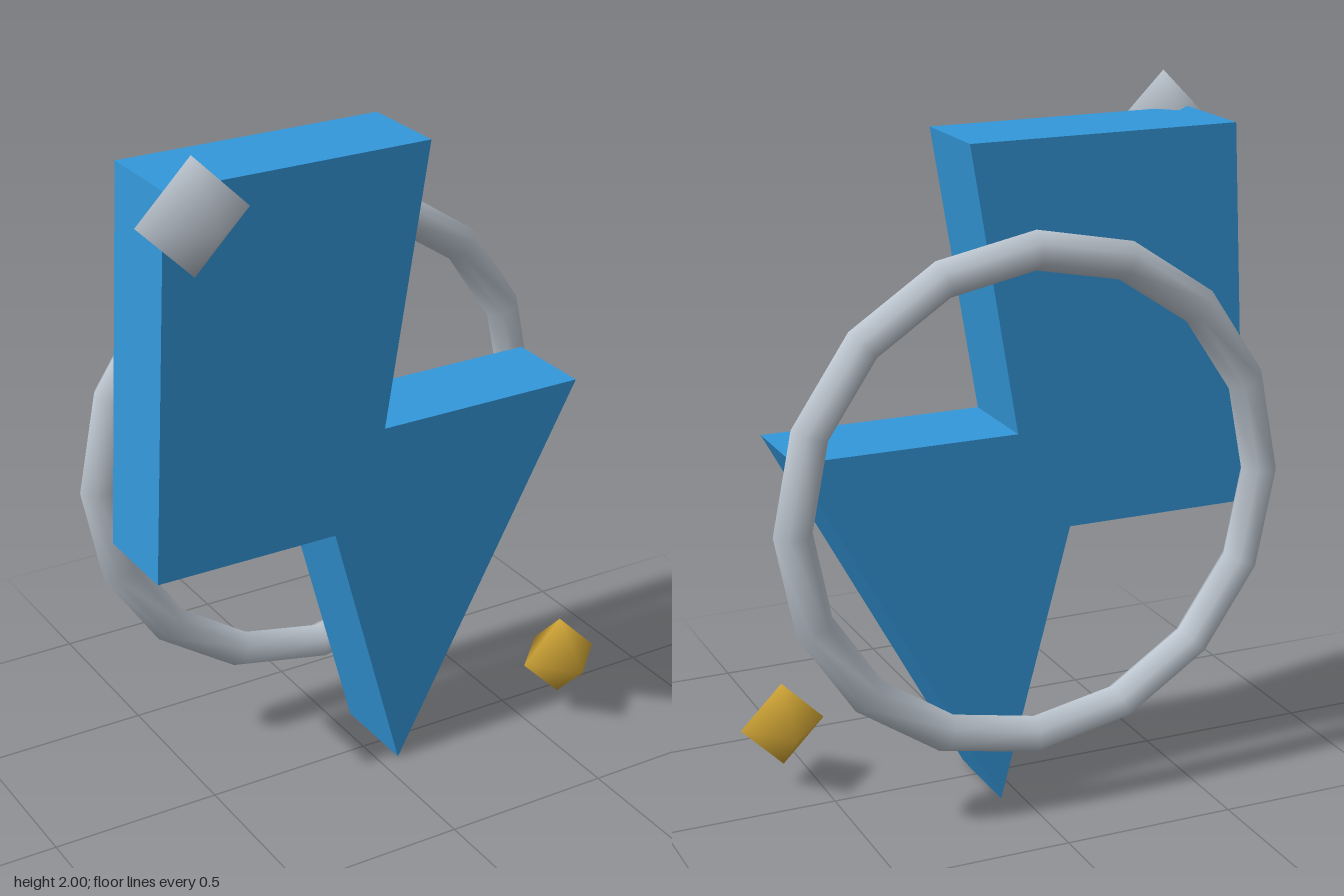
import * as THREE from 'three';

const FRONT = 0.10, BACK = -0.177;

export function createModel() {
  const group = new THREE.Group();
  const blue = new THREE.MeshStandardMaterial({ color: 0x3498db });
  const silver = new THREE.MeshStandardMaterial({ color: 0xbdc6d0 });
  const gold = new THREE.MeshStandardMaterial({ color: 0xd4a837 });
  blue.name = 'blue';
  silver.name = 'silver';
  gold.name = 'gold';

  const add = (name, geometry, material, x, y, z) => {
    const mesh = new THREE.Mesh(geometry, material);
    mesh.name = name;
    mesh.position.set(x, y, z);
    group.add(mesh);
  };

  // Lightning bolt slab
  const outline = [
    [-0.64, 1.9], [-0.70, 0.8], [-0.15, 0.8], [0.06, 0.003],
    [0.655, 1.09], [0.01, 1.09], [0.15, 1.9],
  ];
  const shape = new THREE.Shape(outline.map(([x, y]) => new THREE.Vector2(x, y)));
  const slab = new THREE.ExtrudeGeometry(shape, { depth: FRONT - BACK, bevelEnabled: false });
  add('bolt', slab, blue, 0, 0, BACK);

  // Ring behind the bolt
  add('ring', new THREE.TorusGeometry(0.695, 0.055, 6, 16), silver, 0, 0.928, -0.268);

  // Smooth-shaded eight-sided gems
  add('silverGem', new THREE.SphereGeometry(0.162, 4, 2), silver, -0.585, 1.838, 0.15);
  add('goldGem', new THREE.SphereGeometry(0.125, 4, 2), gold, 0.605, 0.205, 0.138);

  return group;
}
